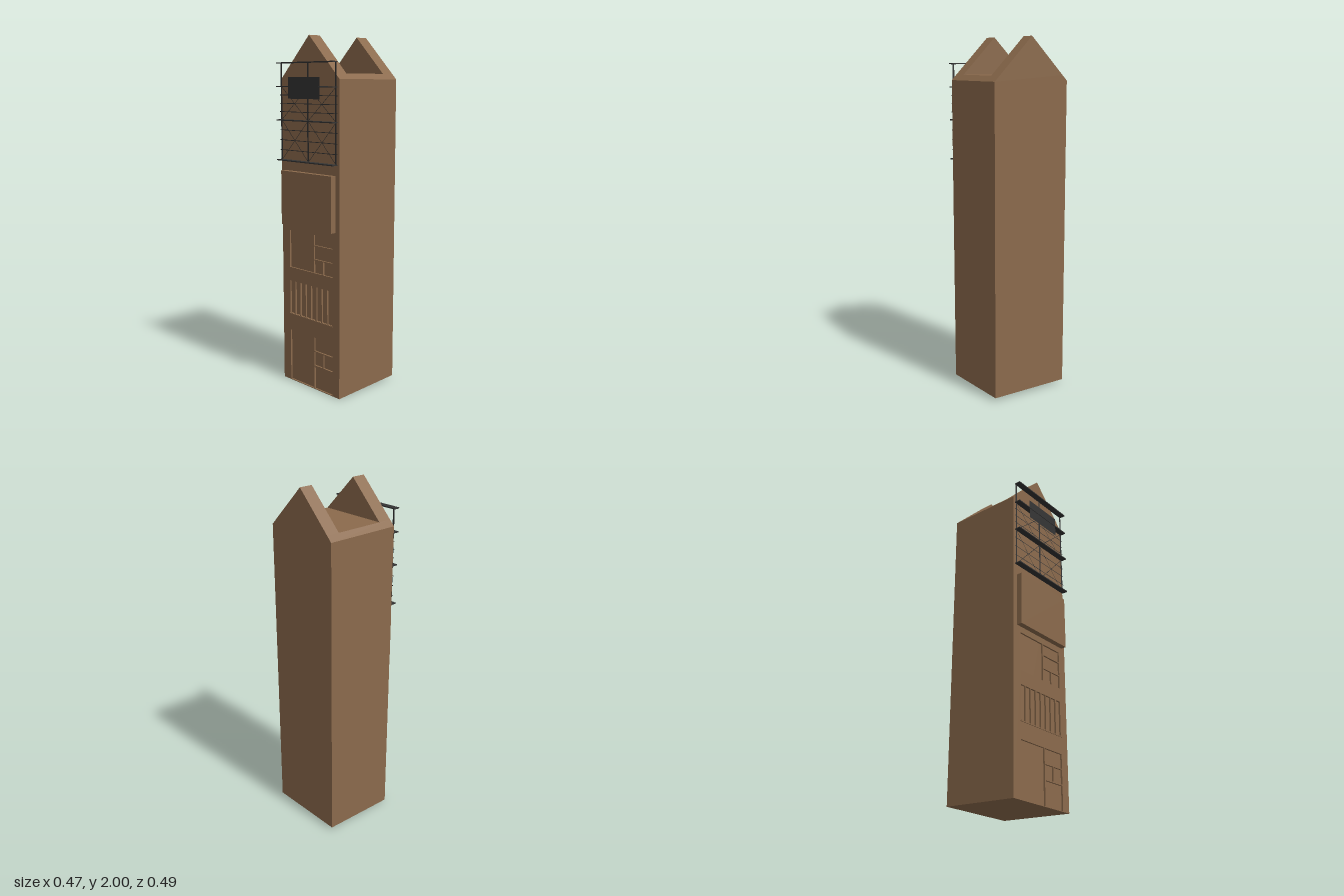
import * as THREE from 'three';

const brown = new THREE.MeshStandardMaterial({ color: 0x8b6a4c, flatShading: true });
const dark = new THREE.MeshStandardMaterial({ color: 0x333333, flatShading: true, side: THREE.DoubleSide });

const W = 0.235, EAVE = 1.765, RIDGE = 2, DECK = 1.795, DECK_X = 0.205;
const FRONT = 0.2, BACK = -0.245, RECESS = 0.01;

export function createModel() {
  const root = new THREE.Group();

  const add = (name, geometry, material, x = 0, y = 0, z = 0, parent = root) => {
    const mesh = new THREE.Mesh(geometry, material);
    mesh.name = name;
    mesh.position.set(x, y, z);
    parent.add(mesh);
    return mesh;
  };
  const box = (name, x0, x1, y0, y1, z0, z1, material, parent) =>
    add(name, new THREE.BoxGeometry(x1 - x0, y1 - y0, z1 - z0), material,
      (x0 + x1) / 2, (y0 + y1) / 2, (z0 + z1) / 2, parent);
  const shapeOf = (points) => new THREE.Shape(points.map(([x, y]) => new THREE.Vector2(x, y)));

  // Extrudes a profile between two depths; the underside rises towards the back
  const prism = (name, shape, z0, z1) => {
    const g = new THREE.ExtrudeGeometry(shape, { depth: z1 - z0, bevelEnabled: false });
    g.translate(0, 0, z0);
    const p = g.attributes.position;
    for (let i = 0; i < p.count; i++) {
      if (p.getY(i) < 0.001) p.setY(i, (FRONT - p.getZ(i)) * 0.04);
    }
    g.computeVertexNormals();
    return add(name, g, brown);
  };

  // Main tower with the flat roof terrace
  prism('towerBody', shapeOf([[-W, 0], [W, 0], [W, EAVE], [DECK_X, DECK], [-DECK_X, DECK], [-W, EAVE]]),
    BACK, FRONT - RECESS);

  // Gables in front of and behind the terrace
  const gable = shapeOf([[-DECK_X, DECK], [DECK_X, DECK], [0, RIDGE]]);
  prism('frontGable', gable, 0.12, FRONT - RECESS);
  prism('backGable', gable, BACK, -0.167);

  // Facade slab with recessed panes: [x0, x1, y0, y1]
  const panes = [
    [-0.174, 0.025, 0.004, 0.31], [0.031, 0.18, 0.004, 0.138],
    [0.031, 0.1, 0.144, 0.224], [0.106, 0.18, 0.144, 0.224], [0.031, 0.18, 0.23, 0.31],
    [-0.174, 0.025, 0.69, 0.91], [0.031, 0.1, 0.69, 0.764], [0.106, 0.18, 0.69, 0.764],
    [0.031, 0.18, 0.77, 0.844], [0.031, 0.18, 0.85, 0.91],
  ];
  for (let i = 0; i < 8; i++) {
    const x = -0.174 + i * 0.0447;
    panes.push([x, x + 0.039, 0.413, 0.61]);
  }
  const facade = shapeOf([[-W, 0], [W, 0], [W, EAVE], [0, RIDGE], [-W, EAVE]]);
  for (const [x0, x1, y0, y1] of panes) {
    facade.holes.push(new THREE.Path([[x0, y0], [x0, y1], [x1, y1], [x1, y0]]
      .map(([x, y]) => new THREE.Vector2(x, y))));
  }
  prism('facade', facade, FRONT - RECESS, FRONT);
  box('windowSill', -0.176, 0.182, 0.406, 0.412, FRONT, 0.204, brown);

  // Projecting panel
  box('frontPanel', -0.205, 0.205, 0.945, 1.255, FRONT, 0.233, brown);

  // Scaffold on the upper front
  const scaffold = new THREE.Group();
  scaffold.name = 'scaffold';
  root.add(scaffold);
  const levels = [1.315, 1.54, 1.725, 1.855];
  for (const y of levels) box('scaffoldDeck', -0.228, 0.226, y - 0.003, y + 0.003, 0.207, 0.243, dark, scaffold);
  for (const x of [-0.22, 0, 0.218]) {
    add('scaffoldPost', new THREE.PlaneGeometry(0.012, 0.54), dark, x, 1.585, 0.211, scaffold);
  }
  for (let b = 0; b < 2; b++) {
    const y0 = levels[b], h = levels[b + 1] - y0;
    for (let i = 1; i <= 3; i++) {
      add('scaffoldRail', new THREE.PlaneGeometry(0.466, 0.004), dark, 0, y0 + h * i / 4, 0.212, scaffold);
    }
    // Crossed braces in each half
    for (const x of [-0.11, 0.11]) {
      for (const s of [-1, 1]) {
        const brace = add('scaffoldBrace', new THREE.PlaneGeometry(Math.hypot(0.22, h), 0.003), dark,
          x, y0 + h / 2, 0.21, scaffold);
        brace.rotation.z = s * Math.atan2(h, 0.22);
      }
    }
  }

  // Blank sign board
  add('signBoard', new THREE.PlaneGeometry(0.255, 0.117), dark, -0.003, 1.718, 0.24);

  return root;
}
